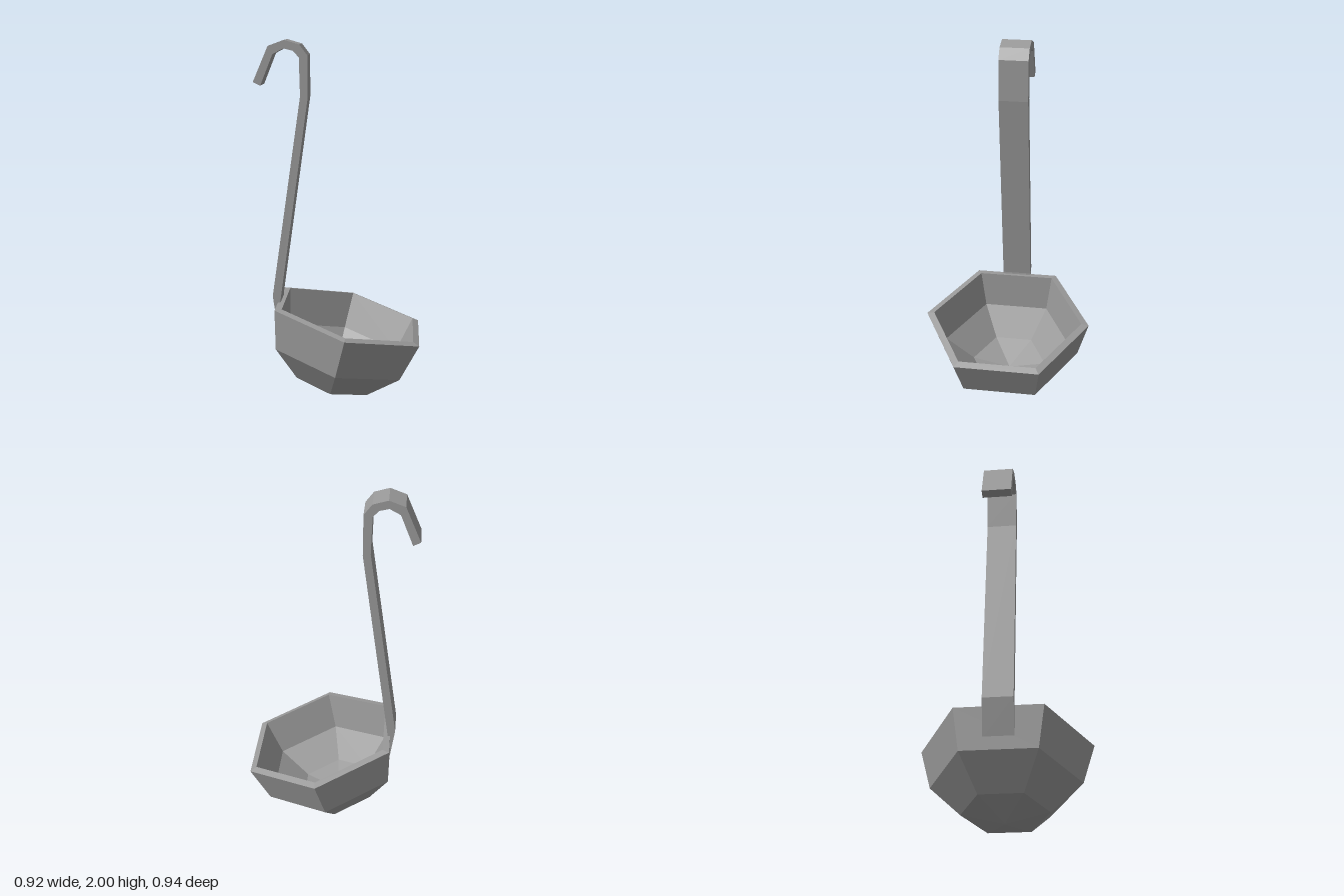
import * as THREE from 'three';

export function createModel() {
  const steel = new THREE.MeshStandardMaterial({ color: 0x999999, flatShading: true });
  steel.name = 'steel grey';
  const model = new THREE.Group();
  model.name = 'ladle';

  // Quarter-ellipse profile from the bottom pole up to the rim
  const arc = (radius, depth) => [0, 1, 2, 3].map((i) => {
    const a = (i * Math.PI) / 6;
    return new THREE.Vector2(radius * Math.sin(a), -depth * Math.cos(a));
  });

  // Bowl: six-sided shell, outer wall up, over the raised inner lip, inner wall down
  const inner = arc(0.43, 0.393).reverse();
  inner[0].y = 0.01;
  const bowl = new THREE.Mesh(new THREE.LatheGeometry([...arc(0.472, 0.456), ...inner], 6), steel);
  bowl.name = 'bowl';
  bowl.position.set(0.058, 0.448, 0);
  bowl.rotation.z = -0.234;
  model.add(bowl);

  // Handle: bent strip with a hook, its foot sunk into the bowl wall
  const outline = [
    [-0.31, 0.37], [-0.325, 0.553], [-0.164, 1.69], [-0.164, 1.918], [-0.208, 1.976],
    [-0.29, 2.0], [-0.377, 1.968], [-0.46, 1.776], [-0.42, 1.756], [-0.352, 1.924],
    [-0.294, 1.955], [-0.244, 1.943], [-0.21, 1.908], [-0.205, 1.7], [-0.368, 0.58],
    [-0.338, 0.37],
  ].map(([x, y]) => new THREE.Vector2(x, y));
  const width = 0.164;
  const strip = new THREE.ExtrudeGeometry(new THREE.Shape(outline), { depth: width, bevelEnabled: false });
  strip.translate(0, 0, -width / 2);
  const handle = new THREE.Mesh(strip, steel);
  handle.name = 'handle';
  model.add(handle);

  return model;
}
